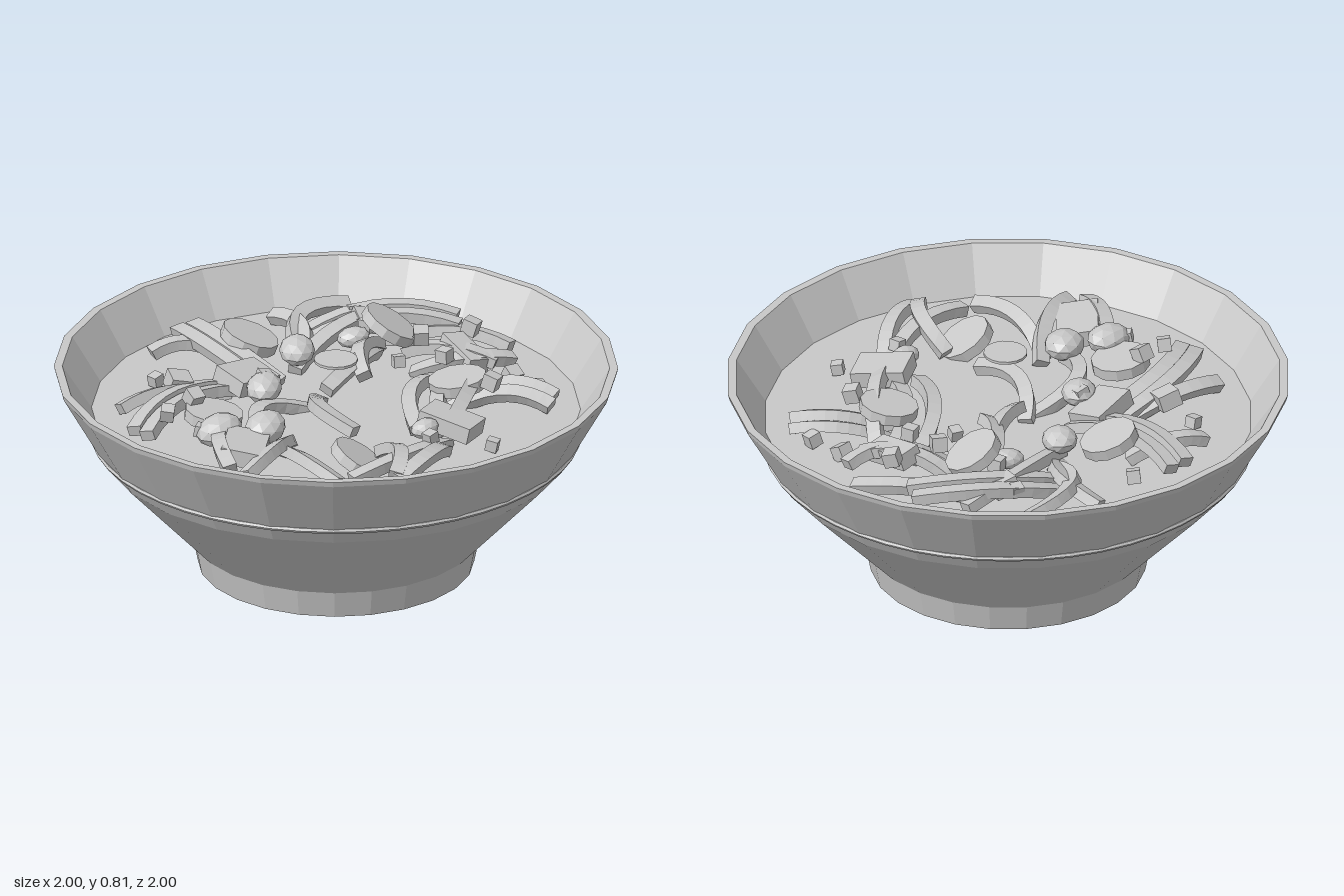
import * as THREE from 'three';

const grey = new THREE.MeshStandardMaterial({ color: 0xc8c8c8, flatShading: true });
grey.name = 'stoneware grey';

// Box bent along an arc: ends as x, z, sideways bow of the middle, height of the ends
function noodleGeometry(ax, az, bx, bz, bow, y, roll) {
  const across = new THREE.Vector3(bz - az, 0, ax - bx).normalize();
  const start = new THREE.Vector3(ax, y + 0.02, az);
  const end = new THREE.Vector3(bx, y - 0.02, bz);
  const middle = start.clone().lerp(end, 0.5).addScaledVector(across, 2 * bow);
  middle.y += 0.09;
  const curve = new THREE.QuadraticBezierCurve3(start, middle, end);
  const geo = new THREE.BoxGeometry(0.052, 0.04, 1, 1, 1, 9);
  const pos = geo.attributes.position;
  const up = new THREE.Vector3(), side = new THREE.Vector3(), p = new THREE.Vector3();
  for (let k = 0; k < pos.count; k++) {
    const t = pos.getZ(k) + 0.5;
    const tangent = curve.getTangent(t);
    side.set(0, 1, 0).cross(tangent).normalize().applyAxisAngle(tangent, roll);
    up.crossVectors(tangent, side);
    curve.getPoint(t, p).addScaledVector(side, pos.getX(k)).addScaledVector(up, pos.getY(k));
    pos.setXYZ(k, p.x, p.y, p.z);
  }
  geo.computeVertexNormals();
  return geo;
}

export function createModel() {
  const root = new THREE.Group();
  root.name = 'noodleBowl';
  const add = (parent, name, geo, pos = [0, 0, 0], rot = [0, 0, 0]) => {
    const m = new THREE.Mesh(geo, grey);
    m.name = name;
    m.position.set(...pos);
    m.rotation.set(...rot);
    parent.add(m);
  };
  const group = (name) => {
    const g = new THREE.Group();
    g.name = name;
    root.add(g);
    return g;
  };

  // Bowl: recessed foot, flared wall, rim and inner wall in one profile
  const profile = [
    [0, 0.05], [0.4, 0.05], [0.415, 0], [0.49, 0], [0.51, 0.1], [0.83, 0.44],
    [0.865, 0.5], [0.995, 0.73], [1, 0.75], [0.97, 0.75], [0.86, 0.58],
  ].map(([x, y]) => new THREE.Vector2(x, y));
  add(root, 'bowl', new THREE.LatheGeometry(profile, 24));

  // Thin raised band around the wall
  add(root, 'band', new THREE.TorusGeometry(0.862, 0.01, 6, 48).rotateX(Math.PI / 2), [0, 0.5, 0]);

  // Broth surface
  add(root, 'broth', new THREE.CircleGeometry(0.868, 24).rotateX(-Math.PI / 2), [0, 0.59, 0]);

  // Noodles: start x, z, end x, z, bow, and for a doubled strand its sideways shift
  const noodles = group('noodles');
  [
    [-0.6, -0.48, -0.2, -0.34, 0.02], [-0.71, -0.23, -0.08, -0.27, 0.07, 0.06],
    [-0.22, -0.71, 0, -0.54, 0.02], [-0.03, -0.77, -0.1, -0.26, -0.04, 0.07],
    [0.35, -0.68, 0.14, -0.34, 0.07], [0.59, -0.54, 0.2, -0.36, -0.11],
    [0.69, -0.34, 0.1, -0.31, -0.04], [0.76, -0.16, 0.35, -0.5, -0.05, 0.08],
    [0.77, 0.1, 0.5, -0.3, -0.04], [-0.51, 0.54, -0.4, 0.15, 0.04],
    [-0.72, 0.28, -0.35, 0.12, -0.03], [-0.74, 0.22, -0.5, -0.05, 0.03],
    [-0.43, 0.08, -0.06, -0.06, 0.11], [-0.16, 0.26, 0, -0.08, 0.07],
    [0, -0.05, 0.42, -0.23, -0.03], [0.16, -0.02, 0.45, -0.24, 0.04],
    [0.03, 0.38, 0.48, 0.07, 0.07, -0.1], [-0.46, 0.55, 0.06, 0.5, -0.05],
    [-0.36, 0.69, 0, 0.55, -0.03], [0.1, 0.48, 0.5, 0.2, -0.02],
    [0.51, 0.57, 0.3, 0.28, -0.03, -0.08], [0.68, 0.2, 0.4, -0.02, 0.04],
    [0.6, 0.2, 0.5, -0.15, 0.02], [-0.36, 0.67, -0.19, 0.42, -0.04],
  ].forEach(([ax, az, bx, bz, bow, shift], i) => {
    const length = Math.hypot(bx - ax, bz - az);
    for (const s of shift ? [0, shift] : [0]) {
      const dx = s * (bz - az) / length, dz = s * (ax - bx) / length;
      add(noodles, 'noodle', noodleGeometry(ax + dx, az + dz, bx + dx, bz + dz, bow,
        0.6 + (i % 4) * 0.012, ((i % 5) - 2) * 0.22));
    }
  });

  // Round vegetable slices: position and lean towards the front left
  const slices = group('slices');
  const sliceGeo = new THREE.CylinderGeometry(0.105, 0.105, 0.04, 12);
  [
    [0.05, 0.69, -0.49, 0.25], [-0.46, 0.66, -0.15, 0.1], [0.45, 0.71, -0.19, 0.4],
    [-0.3, 0.62, 0.42, 0.4], [0.33, 0.68, 0.28, -0.1],
  ].forEach(([x, y, z, lean]) => add(slices, 'slice', sliceGeo, [x, y, z], [lean, 0, -lean]));
  add(slices, 'topSlice', new THREE.CylinderGeometry(0.078, 0.078, 0.01, 16), [-0.05, 0.81, 0.05]);

  // Larger cut pieces: x, z, width, depth, turn
  const pieces = group('pieces');
  [
    [-0.15, -0.3, 0.19, 0.14, 0], [0.1, 0.48, 0.14, 0.2, 0.35], [-0.58, 0.13, 0.22, 0.15, 0.65],
    [-0.35, -0.44, 0.08, 0.08, -0.5], [0.5, -0.36, 0.09, 0.08, -0.5], [0.55, 0.09, 0.09, 0.19, -0.2],
  ].forEach(([x, z, w, d, turn]) =>
    add(pieces, 'piece', new THREE.BoxGeometry(w, 0.06, d), [x, 0.66, z], [0.2, turn, -0.15]));

  // Faceted rounded morsels: x, z, half length, turn
  const morsels = group('morsels');
  [
    [-0.42, 0.07, 0.09, 0.4], [-0.55, -0.03, 0.09, 0], [-0.18, -0.18, 0.08, 0.6],
    [0.13, -0.33, 0.08, 0.8], [-0.02, 0.47, 0.055, 0], [0.35, -0.27, 0.06, -0.5],
  ].forEach(([x, z, r, turn]) =>
    add(morsels, 'morsel', new THREE.IcosahedronGeometry(r, 1).scale(1, 0.6, 0.8),
      [x, 0.67, z], [0, turn, 0.15]));

  // Small diced garnish: on the broth first, then on top of the food
  const garnish = group('garnish');
  [
    [-0.33, -0.575], [0.11, -0.645], [0.6, 0.28], [0.13, 0.66], [0.59, 0.42], [0.37, 0.41],
    [0.32, -0.01], [0.44, 0.1], [0.47, -0.05], [-0.06, 0.54], [-0.61, -0.23], [-0.48, -0.23],
    [-0.6, -0.07], [-0.15, -0.21], [0.65, 0.02], [0.51, -0.43], [0.43, -0.28],
  ].forEach(([x, z], i) => {
    const s = 0.042 + (i % 3) * 0.006;
    add(garnish, 'die', new THREE.BoxGeometry(s, s, s),
      [x, i < 5 ? 0.62 : 0.67 + (i % 3) * 0.02, z], [0.15 * (i % 3), i * 0.7, 0.2]);
  });

  return root;
}
